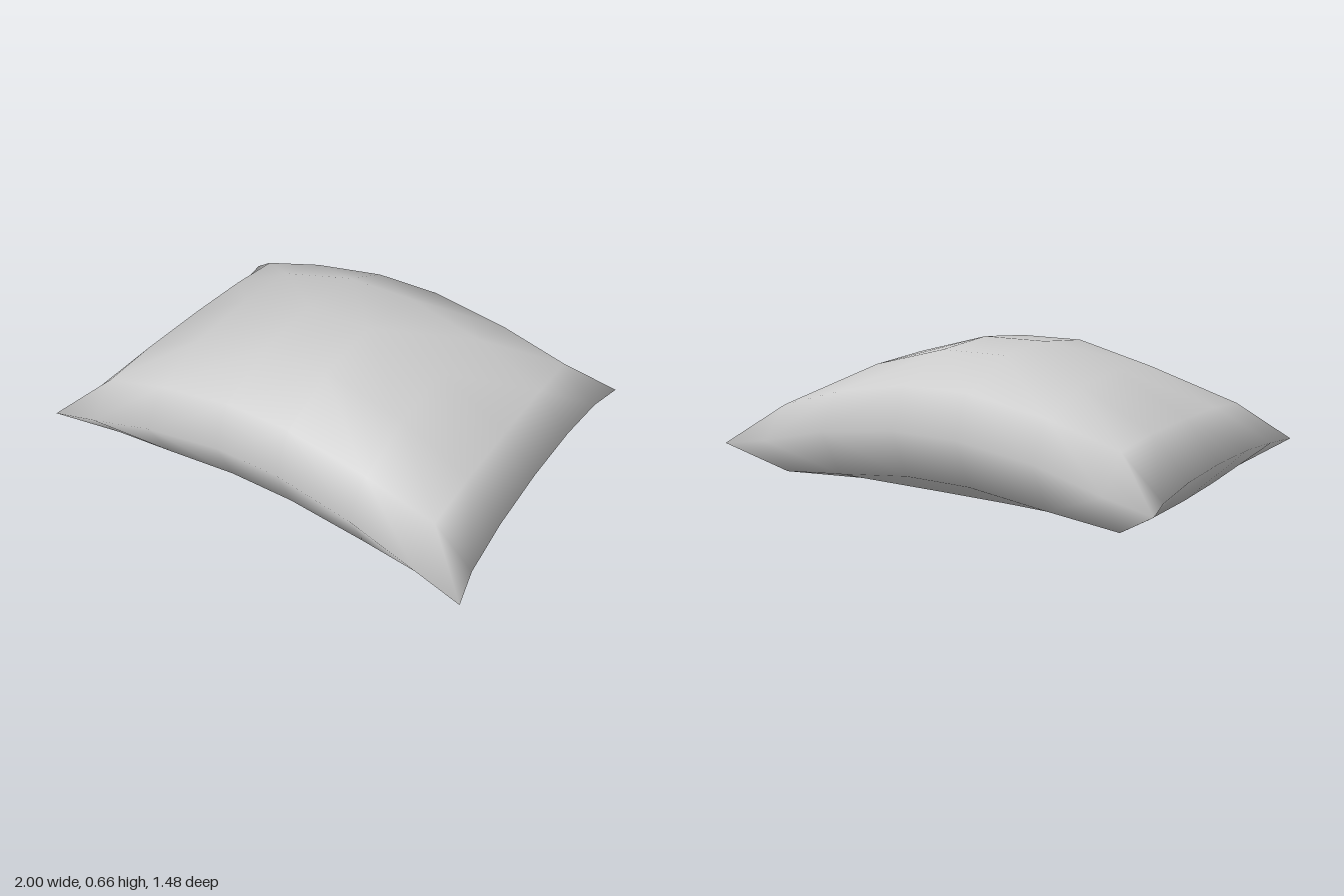
import * as THREE from 'three';

// Quarter of the cushion: rows run from the z centre to the front edge,
// columns from the x centre to the side edge. The last row and column are the seam.
const X = [0.15, 0.5, 0.8, 1];
const Z = [0, 0.32, 0.58, 0.74];
const EDGE_X = [0.945, 0.95, 0.965, 1];    // side seam, bowed inwards
const EDGE_Z = [0.665, 0.688, 0.712, 0.74]; // front and back seam, bowed inwards
const TOP = [
  [0.66, 0.567, 0.40, 0.235],
  [0.635, 0.545, 0.395, 0.23],
  [0.52, 0.46, 0.375, 0.215],
  [0.35, 0.31, 0.24, 0.21],
];
const BOTTOM = [
  [0.003, 0.008, 0.06, 0.235],
  [0.025, 0.03, 0.065, 0.23],
  [0.15, 0.11, 0.08, 0.215],
  [0.35, 0.31, 0.24, 0.21],
];
const COLS = [-4, -3, -2, -1, 1, 2, 3, 4]; // signed, one-based index into X
const ROWS = [-3, -2, -1, 0, 1, 2, 3];     // signed index into Z

function cushionGeometry() {
  const positions = [], indices = [], ids = new Map();

  // Shared vertices, so the seam is welded and shaded smoothly
  const vertex = (c, r, top) => {
    const i = Math.abs(c) - 1, j = Math.abs(r);
    const onSeam = i === 3 || j === 3;
    const key = `${c},${r},${onSeam || top}`;
    if (!ids.has(key)) {
      const x = Math.sign(c) * (i === 3 ? EDGE_X[j] : X[i]);
      const z = Math.sign(r) * (j === 3 ? EDGE_Z[i] : Z[j]);
      const y = (top ? TOP : BOTTOM)[j][i] + 0.012 * x; // slight sideways lean
      ids.set(key, positions.length / 3);
      positions.push(x, Math.max(0, y), z);
    }
    return ids.get(key);
  };

  for (const top of [true, false]) {
    for (let r = 0; r < ROWS.length - 1; r++) {
      for (let c = 0; c < COLS.length - 1; c++) {
        const a = vertex(COLS[c], ROWS[r], top);
        const b = vertex(COLS[c], ROWS[r + 1], top);
        const d = vertex(COLS[c + 1], ROWS[r + 1], top);
        const e = vertex(COLS[c + 1], ROWS[r], top);
        // Diagonals run out towards the corners
        const radial = (COLS[c] > 0) === (ROWS[r] >= 0);
        const tris = radial ? [a, b, d, a, d, e] : [a, b, e, b, d, e];
        indices.push(...(top ? tris : tris.reverse()));
      }
    }
  }
  const geometry = new THREE.BufferGeometry();
  geometry.setAttribute('position', new THREE.Float32BufferAttribute(positions, 3));
  geometry.setIndex(indices);
  geometry.computeVertexNormals();
  return geometry;
}

export function createModel() {
  const fabric = new THREE.MeshStandardMaterial({ color: 0xcccccc });
  fabric.name = 'grey fabric';

  const cushion = new THREE.Mesh(cushionGeometry(), fabric);
  cushion.name = 'cushion';

  const model = new THREE.Group();
  model.name = 'pillow';
  model.add(cushion);
  return model;
}
